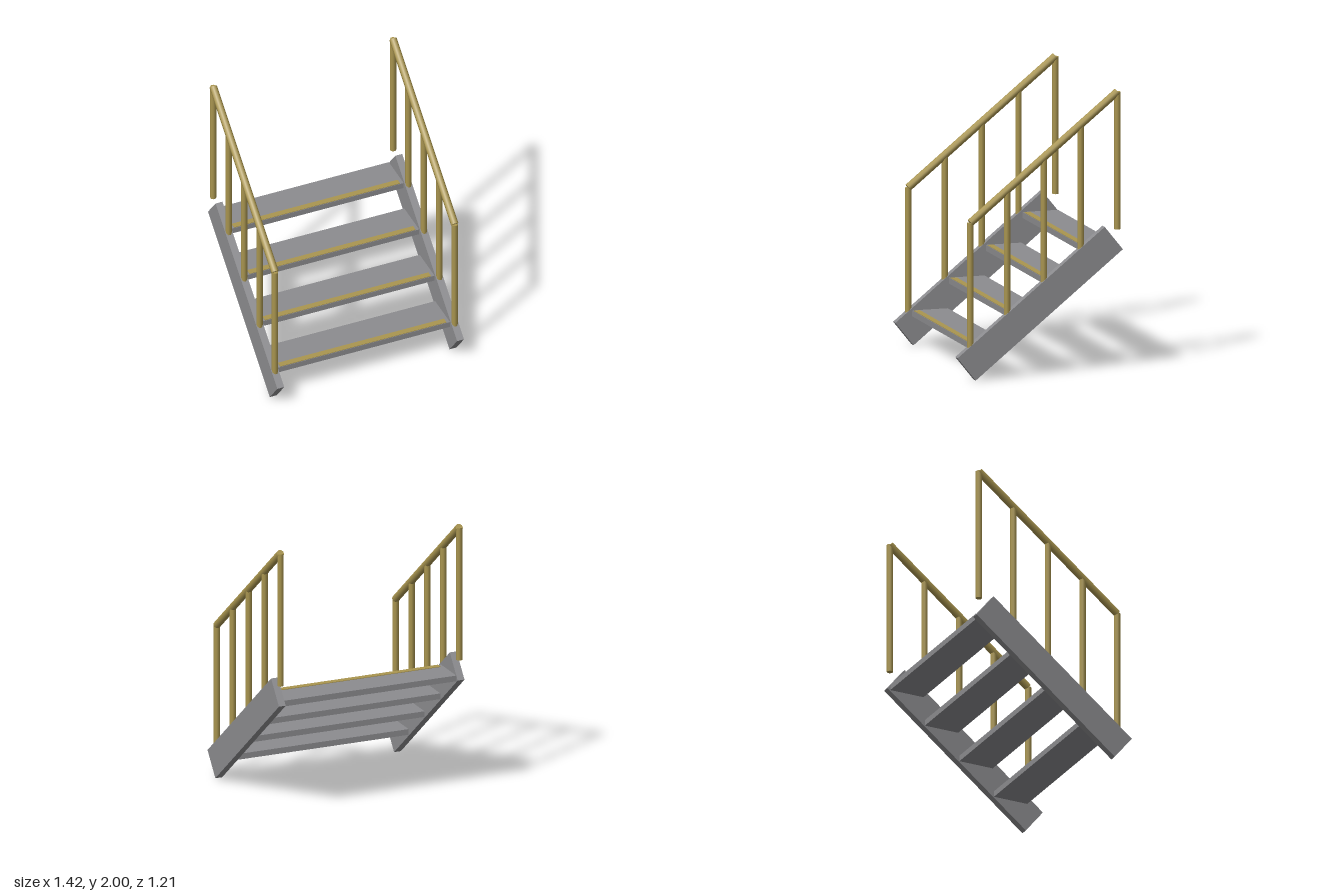
import * as THREE from 'three';

const SLOPE = Math.atan2(0.865, 1.08);
const STEPS = 4, RUN = 0.27, RISE = 0.216;
const SIDE_X = 0.682;

export function createModel() {
  const group = new THREE.Group();
  const steel = new THREE.MeshStandardMaterial({ color: 0x8c8c8f });
  steel.name = 'greySteel';
  const brass = new THREE.MeshStandardMaterial({ color: 0xaa9650 });
  brass.name = 'dullYellow';

  function add(name, geometry, material, x, y, z, tilt = 0) {
    const mesh = new THREE.Mesh(geometry, material);
    mesh.name = name;
    mesh.position.set(x, y, z);
    mesh.rotation.x = tilt;
    group.add(mesh);
  }
  // eight-sided tube with flats facing the axes
  const tube = (r, length) =>
    new THREE.CylinderGeometry(r, r, length, 8, 1, false, Math.PI / 8);

  // treads with a coloured nosing strip near the front edge
  const tread = new THREE.BoxGeometry(1.31, 0.042, 0.26);
  const nosing = new THREE.BoxGeometry(1.26, 0.006, 0.044);
  for (let i = 0; i < STEPS; i++) {
    const top = 0.252 + i * RISE, z = 0.354 - i * RUN;
    add('tread', tread, steel, 0, top - 0.021, z);
    add('nosingStrip', nosing, brass, 0, top + 0.001, z + 0.104);
  }

  // sloping stringers, posts and handrails on both sides
  const stringer = new THREE.BoxGeometry(0.052, 0.213, 1.384);
  const post = tube(0.0225, 0.974);
  const rail = tube(0.027, Math.hypot(4 * RUN, 4 * RISE));
  for (const side of [1, -1]) {
    const x = side * SIDE_X, name = side > 0 ? 'left' : 'right';
    add(name + 'Stringer', stringer, steel, x, 0.52, 0, SLOPE);
    for (let i = 0; i <= STEPS; i++)
      add(name + 'Post', post, brass, x, 0.633 + i * RISE, 0.505 - i * RUN);
    add(name + 'Handrail', rail, brass, x, 1.12 + 2 * RISE, 0.505 - 2 * RUN, SLOPE - Math.PI / 2);
  }
  return group;
}
